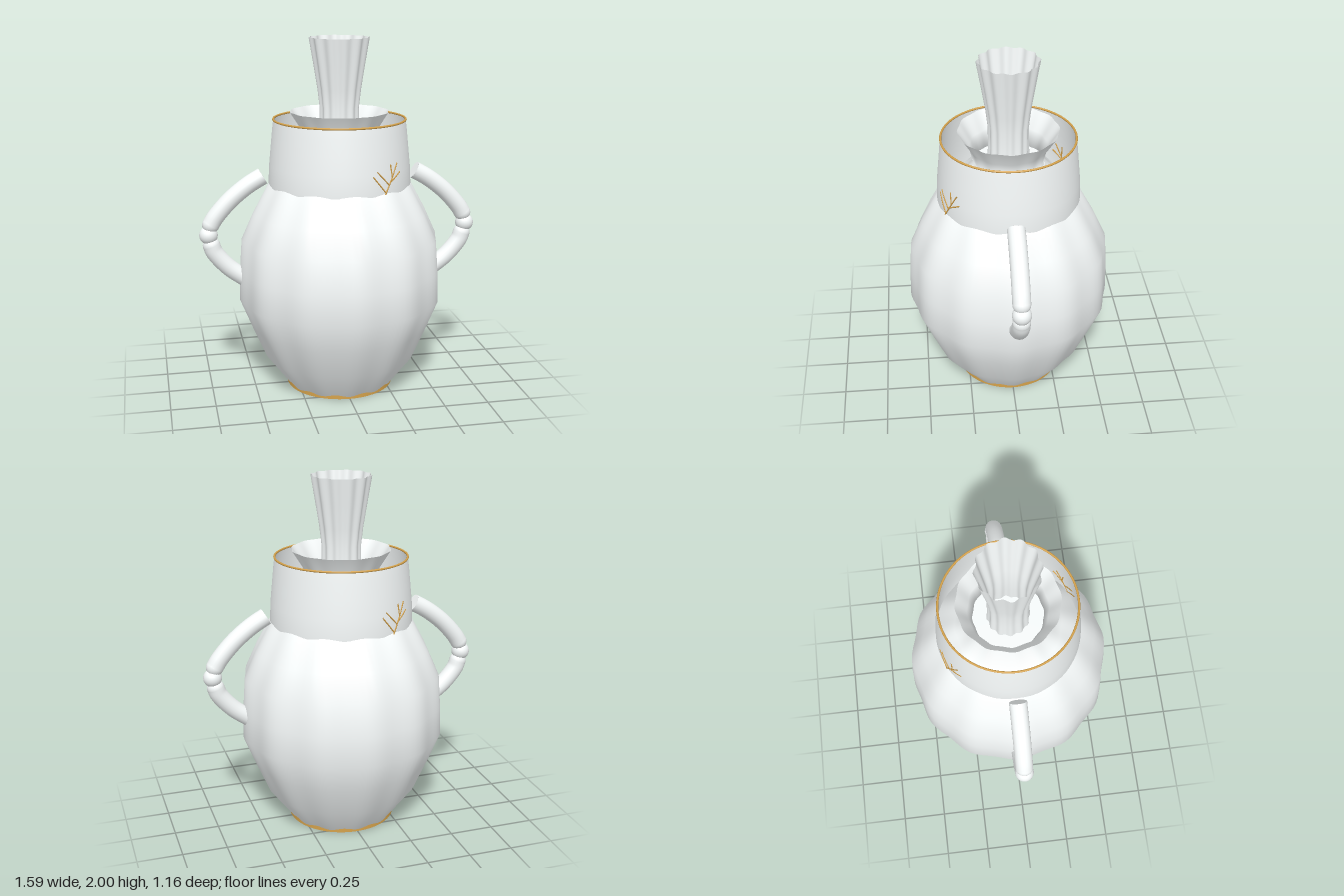
import * as THREE from 'three';
import { mergeVertices } from 'three/addons/utils/BufferGeometryUtils.js';

const LOBES = 12;
const porcelain = new THREE.MeshStandardMaterial({ color: 0xf6fafa, side: THREE.DoubleSide });
const gold = new THREE.MeshStandardMaterial({ color: 0xd4a24c });

function add(parent, name, geometry, material = porcelain) {
  const mesh = new THREE.Mesh(geometry, material);
  mesh.name = name;
  parent.add(mesh);
  return mesh;
}

// Turned surface whose radius ripples with the angle; depth is relative to the radius
function fluted(profile, depth) {
  let g = new THREE.LatheGeometry(profile.map(([r, y]) => new THREE.Vector2(r, y)), LOBES * 8);
  const p = g.attributes.position;
  for (let i = 0; i < p.count; i++) {
    const x = p.getX(i), z = p.getZ(i);
    const k = 1 + depth * Math.cos(LOBES * Math.atan2(x, z));
    p.setXYZ(i, x * k, p.getY(i), z * k);
  }
  g.deleteAttribute('uv');
  g.deleteAttribute('normal');
  g = mergeVertices(g, 1e-5);
  g.computeVertexNormals();
  return g;
}

// Curved handle in two round-ended lengths joined by a knot
function makeHandle(side) {
  const handle = new THREE.Group();
  handle.name = side > 0 ? 'leftHandle' : 'rightHandle';
  const v = ([x, y]) => new THREE.Vector3(side * x, y, 0);
  const lengths = {
    upperHandle: [[0.435, 1.245], [0.52, 1.195], [0.62, 1.115], [0.705, 1.02], [0.73, 0.98]],
    lowerHandle: [[0.535, 0.65], [0.64, 0.73], [0.715, 0.82], [0.73, 0.86]],
  };
  for (const [name, pts] of Object.entries(lengths)) {
    const curve = new THREE.CatmullRomCurve3(pts.map(v));
    add(handle, name, new THREE.TubeGeometry(curve, 24, 0.049, 20));
    const cap = add(handle, name + 'Cap', new THREE.CircleGeometry(0.049, 20));
    cap.position.copy(curve.getPoint(0));
    cap.quaternion.setFromUnitVectors(new THREE.Vector3(0, 0, 1), curve.getTangent(0).negate());
    const end = add(handle, name + 'RoundEnd', new THREE.SphereGeometry(0.049, 20, 14));
    end.position.copy(curve.getPoint(1));
  }
  const knot = add(handle, 'handleKnot', new THREE.SphereGeometry(0.052, 24, 16));
  knot.position.copy(v([0.745, 0.92]));
  return handle;
}

// Gilded twig laid on the collar: strokes are [x, y, x, y] measured along its surface
function makeTwig(angle) {
  const twig = new THREE.Group();
  twig.name = 'goldTwig';
  const strokes = [
    [0, 0, 0.1, 0.16], [0.005, 0.01, -0.075, 0.105], [0.03, 0.05, -0.05, 0.13],
    [0.035, 0.06, 0.125, 0.11], [0.055, 0.09, 0.045, 0.16],
  ];
  const onCollar = (x, y) => {
    const a = angle + x / 0.4, r = 0.402 - 0.07 * y;
    return new THREE.Vector3(r * Math.sin(a), 1.19 + y, r * Math.cos(a));
  };
  for (const [x0, y0, x1, y1] of strokes) {
    const curve = new THREE.CatmullRomCurve3([0, 0.5, 1].map(
      t => onCollar(x0 + (x1 - x0) * t, y0 + (y1 - y0) * t)));
    add(twig, 'goldSprig', new THREE.TubeGeometry(curve, 6, 0.004, 6), gold);
  }
  return twig;
}

export function createModel() {
  const model = new THREE.Group();
  model.name = 'vase';

  // Fluted body running up through the collar to a flared lip
  add(model, 'flutedBody', fluted([
    [0.295, 0.004], [0.427, 0.18], [0.503, 0.36], [0.571, 0.53], [0.566, 0.7], [0.553, 0.88],
    [0.486, 1.03], [0.401, 1.19], [0.29, 1.3], [0.19, 1.41], [0.215, 1.5], [0.274, 1.595],
  ], 0.014));

  // Floor closing the neck below the lip
  const floor = add(model, 'neckFloor', new THREE.CircleGeometry(0.2, 48));
  floor.rotation.x = -Math.PI / 2;
  floor.position.y = 1.4;

  // Tall fluted spout standing inside the lip
  add(model, 'flutedSpout', fluted([
    [0.115, 1.35], [0.107, 1.5], [0.107, 1.62], [0.118, 1.72], [0.14, 1.86], [0.163, 2],
  ], 0.045));

  // Plain collar with a gilded rim
  const collar = [[0.395, 1.14], [0.4, 1.2], [0.395, 1.3], [0.385, 1.4], [0.375, 1.5], [0.368, 1.555]];
  add(model, 'collar', new THREE.LatheGeometry(collar.map(([r, y]) => new THREE.Vector2(r, y)), 64));
  const rim = add(model, 'goldRim', new THREE.TorusGeometry(0.368, 0.006, 8, 72), gold);
  rim.rotation.x = Math.PI / 2;
  rim.position.y = 1.553;

  // Gilded foot with porcelain rays underneath
  const foot = add(model, 'goldFoot', new THREE.CylinderGeometry(0.306, 0.306, 0.024, 64), gold);
  foot.position.y = 0.013;
  const rays = 18, step = 2 * Math.PI / rays;
  for (let i = 0; i < rays; i++) {
    const ray = add(model, 'footRay', new THREE.CircleGeometry(0.28, 3, i * step, step * 0.65));
    ray.rotation.x = Math.PI / 2;
  }

  // Handles on both sides, twigs on opposite faces
  for (const side of [1, -1]) model.add(makeHandle(side));
  for (const turn of [0, Math.PI]) model.add(makeTwig(0.46 + turn));

  return model;
}
